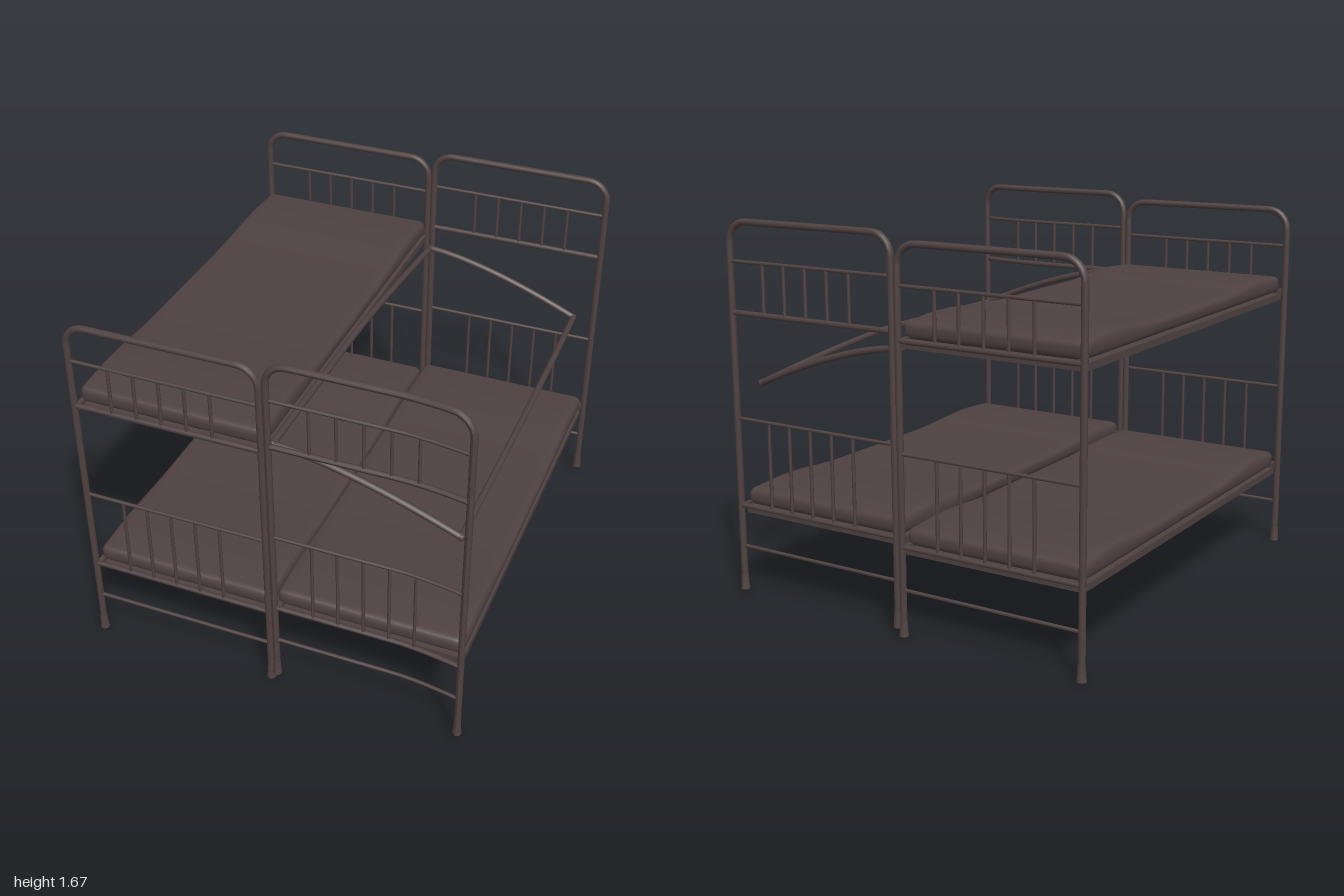
import * as THREE from 'three';
import { mergeVertices } from 'three/addons/utils/BufferGeometryUtils.js';

const V = (x, y, z) => new THREE.Vector3(x, y, z);

export function createModel() {
  const root = new THREE.Group();
  root.name = 'pairedBunkBeds';
  const brown = new THREE.MeshStandardMaterial({ color: 0x4f4141 });
  brown.name = 'agedBrown';

  const FRONT = 0.945, BACK = -0.983;
  const WIDTH = 0.837;          // distance between the two posts of one bed

  function add(parent, name, geo) {
    const m = new THREE.Mesh(geo, brown);
    m.name = name;
    parent.add(m);
    return m;
  }

  function moveVertices(geo, rule) {
    const p = geo.attributes.position, v = V(0, 0, 0);
    for (let i = 0; i < p.count; i++) {
      rule(v.fromBufferAttribute(p, i));
      p.setXYZ(i, v.x, v.y, v.z);
    }
    geo.computeVertexNormals();
    return geo;
  }

  // Tubular end panel: arch with two posts, cross bars, slats and feet
  function endPanel(name, cx, lift, z, mirrored, bent) {
    const g = new THREE.Group();
    g.name = name;
    const h = WIDTH / 2, top = 1.62, r = 0.09, c = r * 0.45;
    const put = (part, geo) => {
      geo.translate(cx, lift, z);
      // the damaged panel curls outward at its outer end
      if (bent) moveVertices(geo, v => {
        v.z += 0.037 * Math.min(1, Math.max(0, (v.x - 0.55) / 0.3)) ** 1.6;
      });
      add(g, part, geo);
    };
    const path = new THREE.CurvePath();
    path.add(new THREE.LineCurve3(V(-h, 0.02, 0), V(-h, top - r, 0)));
    path.add(new THREE.CubicBezierCurve3(V(-h, top - r, 0), V(-h, top - c, 0), V(-h + c, top, 0), V(-h + r, top, 0)));
    path.add(new THREE.LineCurve3(V(-h + r, top, 0), V(h - r, top, 0)));
    path.add(new THREE.CubicBezierCurve3(V(h - r, top, 0), V(h - c, top, 0), V(h, top - c, 0), V(h, top - r, 0)));
    path.add(new THREE.LineCurve3(V(h, top - r, 0), V(h, 0.02, 0)));
    put('archedPosts', new THREE.TubeGeometry(path, 160, 0.015, 10));

    // cross bars: height, radius
    for (const [y, rad] of [[1.453, 0.008], [1.235, 0.012], [0.775, 0.008], [0.385, 0.011], [0.2, 0.008]]) {
      const bar = new THREE.CylinderGeometry(rad, rad, WIDTH, 8, 16).rotateZ(Math.PI / 2);
      put('crossBar', bar.translate(0, y, 0));
    }
    // slats, slightly off centre
    for (let i = 0; i < 5; i++) {
      const x = (-0.207 + i * 0.1125) * (mirrored ? -1 : 1);
      for (const [y0, y1] of [[1.235, 1.453], [0.385, 0.775]]) {
        const slat = new THREE.CylinderGeometry(0.0075, 0.0075, y1 - y0, 8);
        put('slat', slat.translate(x, (y0 + y1) / 2, 0));
      }
    }
    for (const s of [-1, 1]) {
      put('foot', new THREE.CylinderGeometry(0.017, 0.021, 0.035, 12).translate(s * h, 0.0175, 0));
      put('footCollar', new THREE.CylinderGeometry(0.016, 0.018, 0.03, 12).translate(s * h, 0.05, 0));
    }
    root.add(g);
  }

  // Rounded mattress with raised ends and a sagging middle
  function mattress(name, cx, y) {
    const w = 0.83, t = 0.08, l = 1.875, r = 0.03;
    const spread = u => Math.sign(u) * (1 - (1 - Math.min(1, Math.abs(u))) ** 2);
    let geo = new THREE.BoxGeometry(2, 2, 2, 16, 6, 36);
    geo.deleteAttribute('normal');
    geo.deleteAttribute('uv');
    geo = mergeVertices(geo);
    moveVertices(geo, v => {
      const p = V(spread(v.x) * w / 2, v.y * t / 2, spread(v.z) * l / 2);
      const inner = V(
        THREE.MathUtils.clamp(p.x, -w / 2 + r, w / 2 - r),
        THREE.MathUtils.clamp(p.y, -t / 2 + r, t / 2 - r),
        THREE.MathUtils.clamp(p.z, -l / 2 + r, l / 2 - r));
      const d = p.clone().sub(inner);
      if (d.length() > 0) d.setLength(Math.min(r, d.length()));
      v.copy(inner).add(d);
      const e = THREE.MathUtils.smoothstep(Math.abs(v.z), 0.3, 0.7);
      const fall = THREE.MathUtils.smoothstep(Math.abs(v.z), 0.72, 0.94);
      if (v.y > 0) v.y += (v.y / (t / 2)) * (0.022 * e - 0.012 * fall - 0.013);
    });
    add(root, name, geo).position.set(cx, y + t / 2, -0.017);
  }

  function bunk(name, cx, y) {
    const frame = new THREE.BoxGeometry(0.834, 0.03, 1.88);
    add(root, name + 'Frame', frame).position.set(cx, y + 0.015, -0.017);
    mattress(name + 'Mattress', cx, y + 0.035);
  }

  // The two beds stand side by side, one a little higher
  const beds = [['right', -0.435, 0], ['left', 0.431, 0.034]];
  for (const [side, cx, lift] of beds) {
    endPanel(side + 'FrontPanel', cx, lift, FRONT, true, side === 'left');
    endPanel(side + 'BackPanel', cx, lift, BACK, false, false);
    bunk(side + 'LowerBunk', cx * 0.985, 0.345 + lift);
    // hooks joining the bunk frames to the end panels
    for (const s of [-1, 1]) {
      const hook = new THREE.BoxGeometry(0.02, 0.025, 0.05);
      for (const z of [0.925, -0.96]) {
        add(root, 'frameHook', hook).position.set(cx + s * 0.4, 0.385 + lift, z);
        if (side === 'right') add(root, 'frameHook', hook).position.set(cx + s * 0.4, 1.235, z);
      }
    }
  }
  bunk('rightUpperBunk', -0.428, 1.2);

  // Collapsed upper frame: drooping, warped rectangle without a mattress
  const droop = (u, v) => {
    const k = Math.max(0, (v - 0.45) / 0.55) ** 1.4;
    return V(0.025 + u * (0.78 - 0.04 * k), 1.27 - 0.225 * u ** 1.5 - 0.085 * k, 0.925 - 1.84 * v);
  };
  const edges = {
    innerRail: t => droop(0, t),
    outerRail: t => droop(1, t),
    frontRail: t => droop(t, 0),
    backRail: t => droop(t, 1),
  };
  const collapsed = new THREE.Group();
  collapsed.name = 'collapsedFrame';
  for (const [name, at] of Object.entries(edges)) {
    const pts = Array.from({ length: 13 }, (_, i) => at(i / 12));
    const curve = new THREE.CatmullRomCurve3(pts);
    add(collapsed, name, new THREE.TubeGeometry(curve, 32, 0.0145, 8));
  }
  // corner joints close the open tube ends
  for (const u of [0, 1]) for (const v of [0, 1]) {
    add(collapsed, 'cornerJoint', new THREE.SphereGeometry(0.0155, 10, 8)).position.copy(droop(u, v));
  }
  root.add(collapsed);

  return root;
}
